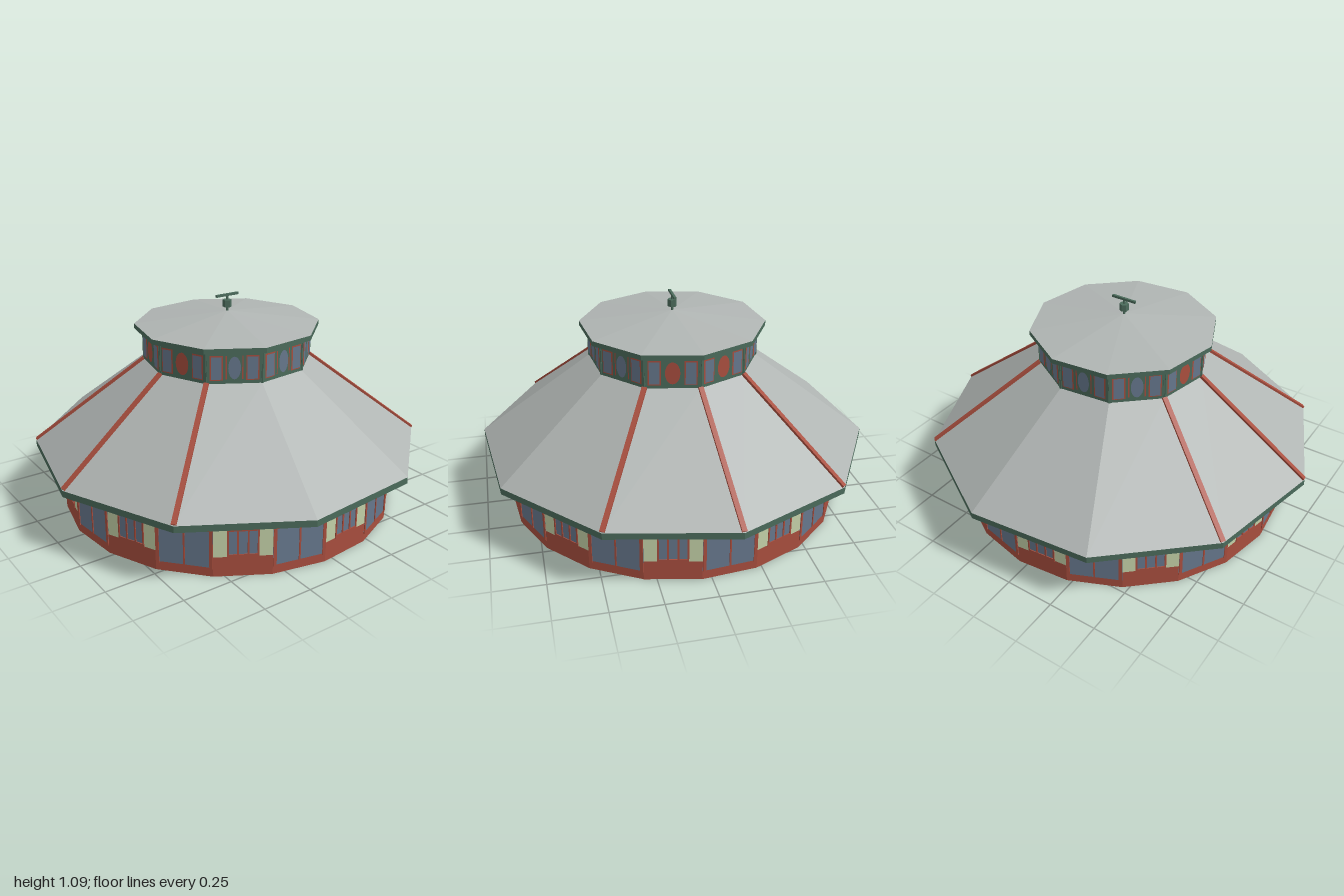
import * as THREE from 'three';

const rad = THREE.MathUtils.degToRad;

function material(name, color) {
  const m = new THREE.MeshStandardMaterial({ color, flatShading: true, side: THREE.DoubleSide });
  m.name = name;
  return m;
}

export function createModel() {
  const roofGrey = material('roofGrey', 0xb0b5b3);
  const red = material('brickRed', 0xa84e3e);
  const green = material('trimGreen', 0x4b6b5b);
  const cream = material('cream', 0xc4d1a8);
  const glass = material('glassBlue', 0x66778c);

  const model = new THREE.Group();
  model.name = 'pavilion';

  function add(parent, name, geometry, mat, x = 0, y = 0, z = 0) {
    const mesh = new THREE.Mesh(geometry, mat);
    mesh.name = name;
    mesh.position.set(x, y, z);
    parent.add(mesh);
    return mesh;
  }

  // Flat panel between two corners of a facet
  const panel = (parent, name, x0, x1, y0, y1, mat, z = 0) =>
    add(parent, name, new THREE.PlaneGeometry(x1 - x0, y1 - y0), mat, (x0 + x1) / 2, (y0 + y1) / 2, z);

  // Thin strip that stands proud of a facet on both sides
  const strip = (parent, name, x0, x1, y0, y1, mat, depth = 0.008) =>
    add(parent, name, new THREE.BoxGeometry(x1 - x0, y1 - y0, depth), mat, (x0 + x1) / 2, (y0 + y1) / 2, 0);

  // Ten-sided ring or drum, with its corners at -6 + 36k degrees
  const drum = (name, rTop, rBottom, y0, y1, mat, open = false) =>
    add(model, name, new THREE.CylinderGeometry(rTop, rBottom, y1 - y0, 10, 1, open, rad(24)), mat, 0, (y0 + y1) / 2, 0);

  // Group whose local +z looks outwards at the given angle
  function facet(name, angle, apothem) {
    const g = new THREE.Group();
    g.name = name;
    g.position.set(Math.cos(rad(angle)) * apothem, 0, Math.sin(rad(angle)) * apothem);
    g.rotation.y = Math.PI / 2 - rad(angle);
    model.add(g);
    return g;
  }

  // Ground floor: twenty facets, alternating narrow and wide windows
  const wallR = 0.865;
  const wallA = wallR * Math.cos(rad(9));
  const w = wallR * Math.sin(rad(9));
  for (let i = 0; i < 10; i++) {
    const narrow = facet('narrowWindowBay', 84 + 36 * i, wallA);
    panel(narrow, 'baseWall', -w, w, 0, 0.1, red);
    panel(narrow, 'header', -w, w, 0.275, 0.296, green);
    panel(narrow, 'glass', -0.073, 0.073, 0.1, 0.275, glass);
    for (const s of [-1, 1]) {
      panel(narrow, 'post', Math.min(s * 0.073, s * w), Math.max(s * 0.073, s * w), 0.1, 0.275, cream);
    }
    strip(narrow, 'sill', -0.073, 0.073, 0.095, 0.113, red);
    for (const x of [-0.069, -0.024, 0.024, 0.069]) {
      strip(narrow, 'mullion', x - 0.004, x + 0.004, 0.113, 0.275, red);
    }
    for (const y of [0.235, 0.27]) strip(narrow, 'transom', -0.073, 0.073, y - 0.004, y + 0.004, red);

    const wide = facet('wideWindowBay', 66 + 36 * i, wallA);
    panel(wide, 'baseWall', -w, w, 0, 0.045, red);
    panel(wide, 'header', -w, w, 0.275, 0.296, green);
    panel(wide, 'glass', -w, w, 0.045, 0.275, glass);
    for (const s of [-1, 1]) strip(wide, 'frame', s * 0.126 - 0.008, s * 0.126 + 0.008, 0.04, 0.275, red);
    strip(wide, 'mullion', -0.004, 0.004, 0.045, 0.275, red);
    for (const y of [0.235, 0.27]) strip(wide, 'transom', -w, w, y - 0.004, y + 0.004, red);
  }

  // Main roof with its eaves board and ceiling
  const eaveR = 1.0055, neckR = 0.428;
  drum('eaves', eaveR, eaveR, 0.295, 0.328, [green, roofGrey, cream]);
  drum('mainRoof', neckR, eaveR, 0.328, 0.762, roofGrey, true);

  // Red ribs along six of the hips
  for (const angle of [-42, -6, 30, 138, 174, 210]) {
    const dir = new THREE.Vector3(Math.cos(rad(angle)), 0, Math.sin(rad(angle)));
    const low = dir.clone().multiplyScalar(eaveR - 0.004).setY(0.332);
    const high = dir.clone().multiplyScalar(neckR).setY(0.766);
    const rib = add(model, 'roofRib', new THREE.BoxGeometry(0.024, 0.014, low.distanceTo(high)), red);
    rib.position.copy(low).add(high).multiplyScalar(0.5);
    rib.lookAt(low);
  }

  // Lantern storey: two side windows and an oval on each of ten facets
  drum('lanternWall', neckR, neckR, 0.75, 0.925, green, true);
  const lanternA = neckR * Math.cos(rad(18));
  const oval = (rx, ry) => new THREE.CircleGeometry(1, 20).scale(rx, ry, 1);
  for (let i = 0; i < 10; i++) {
    const angle = 84 + 36 * i;
    const bay = facet('lanternBay', angle, lanternA);
    const isRed = [12, 336, 156, 192].includes(angle % 360);
    for (const x of [-0.086, 0.086]) {
      panel(bay, 'windowFrame', x - 0.031, x + 0.031, 0.779, 0.902, red, 0.003);
      panel(bay, 'windowGlass', x - 0.025, x + 0.025, 0.785, 0.896, glass, 0.006);
    }
    if (!isRed) {
      for (const x of [-0.039, 0.039]) panel(bay, 'ovalFrame', x - 0.003, x + 0.003, 0.785, 0.9, red, 0.003);
    }
    add(bay, 'ovalWindow', oval(isRed ? 0.036 : 0.03, 0.056), isRed ? red : glass, 0, 0.841, 0.006);
    for (const s of [-1, 1]) strip(bay, 'cornerTrim', s * 0.129 - 0.003, s * 0.129 + 0.003, 0.762, 0.925, green);
  }

  // Lantern roof
  drum('lanternEaves', 0.47, 0.47, 0.922, 0.947, green);
  drum('lanternRoof', 0.001, 0.47, 0.947, 1.005, roofGrey, true);

  // Finial with a vane bar
  add(model, 'mast', new THREE.CylinderGeometry(0.006, 0.006, 0.095, 6), green, 0, 1.042, 0);
  add(model, 'finialKnob', new THREE.CylinderGeometry(0.023, 0.023, 0.036, 6), green, 0, 1.043, 0);
  add(model, 'vaneBar', new THREE.BoxGeometry(0.132, 0.012, 0.012), green, 0, 1.086, 0);

  return model;
}
